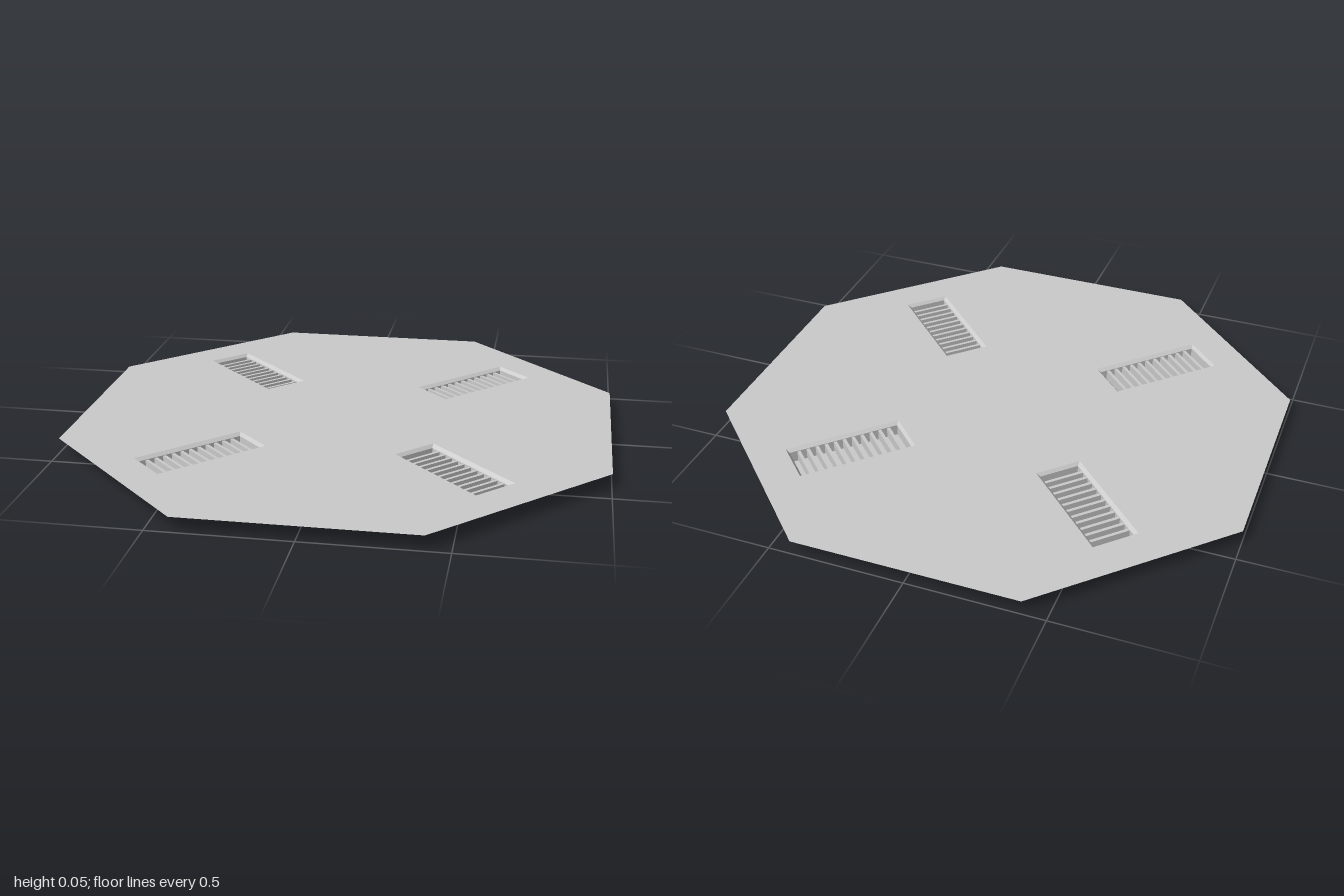
import * as THREE from 'three';

const TOP = 0.055;            // height of the panel
const LIP = 0.043;            // bottom of the sloping rim
const RIM = [0.44, 0.174];    // opening: length, width
const BOX = [0.42, 0.15];     // recessed box: length, width
const DIST = 0.642;           // box centre from the middle
const SLATS = 11;

const grey = new THREE.MeshStandardMaterial({ color: 0xcccccc, flatShading: true, side: THREE.DoubleSide });

function named(geometry, name) {
  const mesh = new THREE.Mesh(geometry, grey);
  mesh.name = name;
  return mesh;
}

function corners([length, width]) {
  return [[1, 1], [-1, 1], [-1, -1], [1, -1]].map(([a, b]) => [a * length / 2, b * width / 2]);
}

// Four sloping or upright walls between two rectangles
function walls(upper, yUpper, lower, yLower) {
  const up = corners(upper), low = corners(lower), pos = [];
  for (let i = 0; i < 4; i++) {
    const j = (i + 1) % 4;
    const a = [up[i][0], yUpper, up[i][1]], b = [up[j][0], yUpper, up[j][1]];
    const c = [low[j][0], yLower, low[j][1]], d = [low[i][0], yLower, low[i][1]];
    pos.push(...a, ...b, ...c, ...a, ...c, ...d);
  }
  const g = new THREE.BufferGeometry();
  g.setAttribute('position', new THREE.Float32BufferAttribute(pos, 3));
  g.computeVertexNormals();
  return g;
}

// Thin octagonal panel with four openings
function createPanel() {
  const r = 1 / Math.cos(Math.PI / 8);
  const points = [];
  for (let i = 0; i < 8; i++) {
    const a = (i + 0.5) * Math.PI / 4;
    points.push(new THREE.Vector2(r * Math.cos(a), r * Math.sin(a)));
  }
  const shape = new THREE.Shape(points);
  for (let k = 0; k < 4; k++) {
    const a = Math.PI / 4 + k * Math.PI / 2;
    const hole = corners(RIM).map(([x, y]) =>
      new THREE.Vector2(x + DIST, y).rotateAround(new THREE.Vector2(), a));
    shape.holes.push(new THREE.Path(hole));
  }
  const g = new THREE.ShapeGeometry(shape);
  g.rotateX(-Math.PI / 2);
  g.translate(0, TOP, 0);
  return named(g, 'octagonalPanel');
}

// Recessed box with a sloping rim and a row of cross slats
function createRecess() {
  const recess = new THREE.Group();
  recess.name = 'recessedGrille';
  recess.add(named(walls(RIM, TOP, BOX, LIP), 'slopingRim'));
  recess.add(named(walls(BOX, LIP, BOX, 0), 'boxWalls'));
  const floor = new THREE.PlaneGeometry(...BOX);
  floor.rotateX(-Math.PI / 2);
  recess.add(named(floor, 'boxFloor'));

  const pitch = BOX[0] / (SLATS + 1);
  for (let i = 0; i < SLATS; i++) {
    const slat = named(new THREE.BoxGeometry(0.012, LIP - 0.004, BOX[1]), 'slat');
    slat.position.set((i - (SLATS - 1) / 2) * pitch, LIP / 2, 0);
    recess.add(slat);
  }
  return recess;
}

export function createModel() {
  const model = new THREE.Group();
  model.name = 'panelWithGrilles';
  model.add(createPanel());
  for (let k = 0; k < 4; k++) {
    const a = Math.PI / 4 + k * Math.PI / 2;
    const recess = createRecess();
    recess.position.set(DIST * Math.cos(a), 0, -DIST * Math.sin(a));
    recess.rotation.y = a;
    model.add(recess);
  }
  return model;
}
